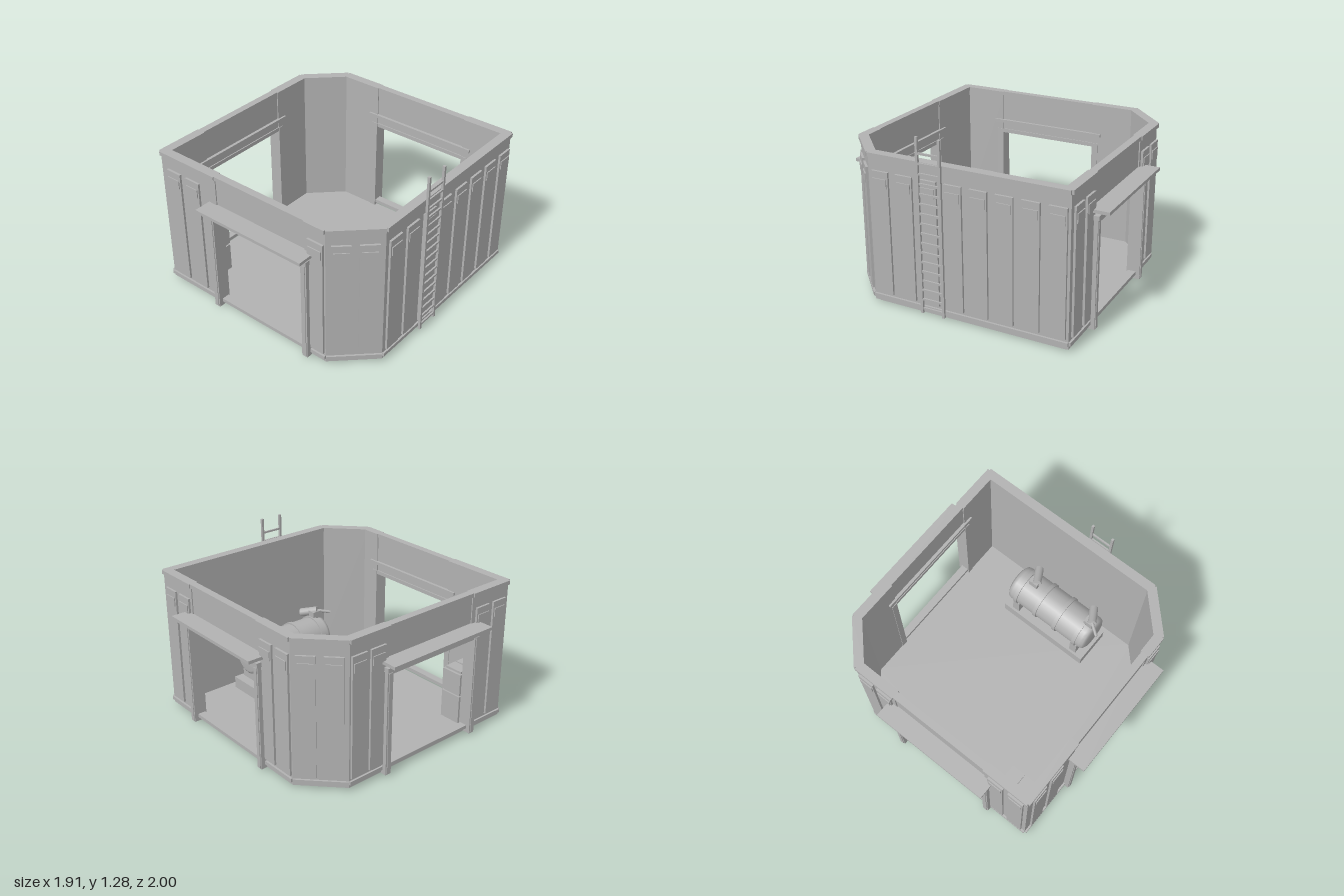
import * as THREE from 'three';

const grey = new THREE.MeshStandardMaterial({ color: 0xb2b2b2 });
grey.name = 'plain grey';

function add(parent, name, geometry, x = 0, y = 0, z = 0) {
  const mesh = new THREE.Mesh(geometry, grey);
  mesh.name = name;
  mesh.position.set(x, y, z);
  parent.add(mesh);
  return mesh;
}

// Box given by its limits on each axis
function box(parent, name, x0, x1, y0, y1, z0, z1) {
  return add(parent, name, new THREE.BoxGeometry(x1 - x0, y1 - y0, z1 - z0),
    (x0 + x1) / 2, (y0 + y1) / 2, (z0 + z1) / 2);
}

// Cylinder between two points
function rod(parent, name, a, b, radius, sides = 12) {
  const from = new THREE.Vector3(...a), to = new THREE.Vector3(...b);
  const dir = to.clone().sub(from);
  const mesh = add(parent, name, new THREE.CylinderGeometry(radius, radius, dir.length(), sides));
  mesh.position.copy(from).add(to).multiplyScalar(0.5);
  mesh.quaternion.setFromUnitVectors(new THREE.Vector3(0, 1, 0), dir.normalize());
  return mesh;
}

// Outer corners of the building: x, z
const corners = [[-0.83, 0.87], [0.64, 0.87], [0.915, 0.61], [0.915, -0.87], [-0.56, -0.87], [-0.83, -0.61]];

// Panel centres along each wall, and the doorway centre where there is one
const walls = [
  { name: 'frontWall', panels: [-0.61, -0.43, 0.66], door: 0.175 },
  { name: 'frontCornerWall', panels: [-0.09, 0.09] },
  { name: 'rightWall', panels: Array.from({ length: 8 }, (_, i) => -0.645 + i * 0.186) },
  { name: 'backWall', panels: [-0.635, -0.465, 0.495, 0.665], door: 0.0125 },
  { name: 'backCornerWall', panels: [-0.09, 0.09] },
  { name: 'leftWall', panels: [-0.665, -0.505, 0.475, 0.645], door: -0.015 },
];

// One wall section with its trim; local +z points outwards
function wallSection(g, x0, x1, y0, recess) {
  box(g, 'wallSlab', x0, x1, y0, 1.09, -0.05 + recess, -recess);
  box(g, 'topRail', x0, x1, 1.08, 1.11, -0.055 + recess, 0.015 - recess);
}

function doorway(g, c) {
  const half = 0.39;
  for (const s of [-1, 1]) {
    const x = c + s * (half + 0.024);
    box(g, 'doorPost', x - 0.024, x + 0.024, 0.015, 0.8, -0.055, 0.045);
    box(g, 'postTrim', x - 0.014, x + 0.014, 0.02, 0.79, 0.045, 0.05);
  }
  box(g, 'doorHead', c - half, c + half, 0.77, 0.8, -0.05, 0.035);
  box(g, 'doorCap', c - half - 0.055, c + half + 0.055, 0.798, 0.832, -0.02, 0.055);
  box(g, 'awning', c - 0.46, c + 0.46, 0.857, 0.88, -0.065, 0.13);
}

function buildWall(root, spec, a, b) {
  const g = new THREE.Group();
  g.name = spec.name;
  const dx = b[0] - a[0], dz = b[1] - a[1], half = Math.hypot(dx, dz) / 2;
  g.position.set((a[0] + b[0]) / 2, 0, (a[1] + b[1]) / 2);
  g.rotation.y = Math.atan2(-dz, dx);

  if (spec.door === undefined) {
    wallSection(g, -half, half, 0.02, 0);
  } else {
    const d0 = spec.door - 0.39, d1 = spec.door + 0.39;
    wallSection(g, -half, d0, 0.02, 0);
    wallSection(g, d1, half, 0.02, 0);
    wallSection(g, d0, d1, 0.78, 0.008);
    doorway(g, spec.door);
  }
  box(g, 'baseRail', -half, half, 0.045, 0.072, -0.045, 0.015);

  // Raised panels, each with a small vent hood near the top
  for (const x of spec.panels) {
    box(g, 'wallPanel', x - 0.064, x + 0.064, 0.09, 0.99, -0.01, 0.016);
    box(g, 'ventHood', x - 0.053, x + 0.053, 0.875, 0.94, 0, 0.023);
  }
  root.add(g);
}

function buildLadder(root) {
  const g = new THREE.Group();
  g.name = 'ladder';
  for (const z of [0.038, 0.206]) box(g, 'ladderRail', 0.932, 0.95, 0.025, 1.285, z - 0.009, z + 0.009);
  for (let i = 0; i < 17; i++) {
    const y = 0.06 + i * 0.0695;
    box(g, 'ladderRung', 0.935, 0.947, y - 0.007, y + 0.007, 0.04, 0.204);
  }
  root.add(g);
}

function buildTank(root) {
  const g = new THREE.Group();
  g.name = 'tank';
  const x = 0.643, y = 0.335;
  box(g, 'tankBase', 0.495, 0.795, 0.02, 0.115, -0.385, 0.38);
  // Shell with slightly rounded ends
  const profile = [[0, -0.37], [0.11, -0.37], [0.135, -0.355], [0.143, -0.33],
    [0.143, 0.33], [0.135, 0.355], [0.11, 0.37], [0, 0.37]].map(p => new THREE.Vector2(...p));
  add(g, 'tankShell', new THREE.LatheGeometry(profile, 24), x, y, 0).rotation.x = Math.PI / 2;
  for (const z of [-0.285, -0.097, 0.09, 0.28]) {
    rod(g, 'tankBand', [x, y, z - 0.015], [x, y, z + 0.015], 0.153, 24);
  }
  for (const z of [-0.285, 0.28]) {
    box(g, 'tankSaddle', x - 0.13, x + 0.13, 0.115, 0.26, z - 0.03, z + 0.03);
  }
  // Angled valves on top
  for (const z of [-0.215, 0.31]) {
    box(g, 'valveBlock', 0.62, 0.68, 0.45, 0.53, z - 0.035, z + 0.04);
    rod(g, 'valvePipe', [0.64, 0.53, z + 0.025], [0.765, 0.49, z - 0.045], 0.033);
  }
  rod(g, 'valveLever', [0.65, 0.53, 0.33], [0.585, 0.51, 0.42], 0.012, 8);
  root.add(g);
}

function buildCabinet(root) {
  const g = new THREE.Group();
  g.name = 'cabinet';
  box(g, 'cabinetBase', -0.73, -0.56, 0.02, 0.24, 0.54, 0.78);
  box(g, 'cabinetWaist', -0.72, -0.57, 0.24, 0.255, 0.55, 0.77);
  box(g, 'cabinetTop', -0.73, -0.56, 0.255, 0.42, 0.54, 0.78);
  for (const z of [0.605, 0.712]) box(g, 'cabinetLid', -0.718, -0.572, 0.42, 0.437, z - 0.047, z + 0.047);
  root.add(g);
}

export function createModel() {
  const root = new THREE.Group();
  root.name = 'openWorkshop';

  // Floor slab, a little smaller than the walls
  const outline = corners.map(([x, z]) => new THREE.Vector2(0.0425 + (x - 0.0425) * 0.97, -z * 0.97));
  const floor = new THREE.ExtrudeGeometry(new THREE.Shape(outline), { depth: 0.022, bevelEnabled: false });
  floor.rotateX(-Math.PI / 2);
  add(root, 'floor', floor);

  walls.forEach((spec, i) => buildWall(root, spec, corners[i], corners[(i + 1) % corners.length]));
  buildLadder(root);
  buildTank(root);
  buildCabinet(root);
  return root;
}
